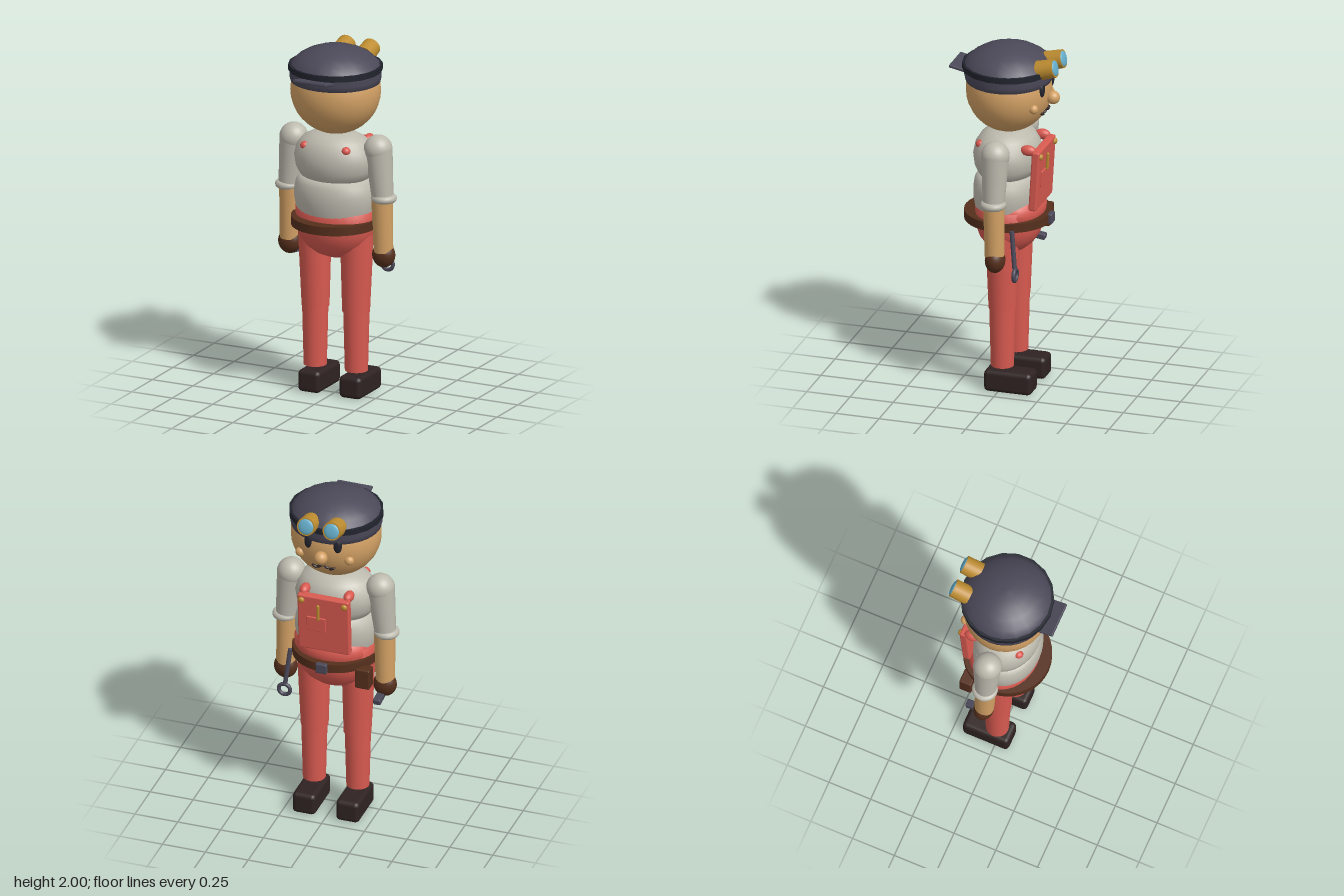
import * as THREE from 'three';
import { RoundedBoxGeometry } from 'three/addons/geometries/RoundedBoxGeometry.js';

const mat = (name, color) => {
  const m = new THREE.MeshStandardMaterial({ color });
  m.name = name;
  return m;
};

export function createModel() {
  const capGrey = mat('slate grey', 0x4b4858), dark = mat('dark navy', 0x22242e);
  const skin = mat('skin', 0xd2a064), shirt = mat('shirt cream', 0xbdbaae);
  const red = mat('overall red', 0xd85a50), brown = mat('leather brown', 0x552f1c);
  const shoe = mat('shoe brown', 0x2f2322), gold = mat('brass', 0xbd8c30);
  const glass = mat('lens blue', 0x66aecb);
  const model = new THREE.Group();
  model.name = 'mechanic';

  const add = (name, geo, material, pos = [0, 0, 0], parent = model) => {
    const mesh = new THREE.Mesh(geo, material);
    mesh.name = name;
    mesh.position.set(...pos);
    parent.add(mesh);
    return mesh;
  };
  const ball = (name, material, pos, radii, parent) => {
    const m = add(name, new THREE.SphereGeometry(1, 28, 18), material, pos, parent);
    m.scale.set(...radii);
    return m;
  };
  const box = (name, material, pos, size, r = 0.008, parent = model) =>
    add(name, new RoundedBoxGeometry(...size, 2, r), material, pos, parent);
  // tapered round bar from a (radius ra) to b (radius rb)
  const bar = (name, material, a, b, ra, rb = ra, sides = 24) => {
    const va = new THREE.Vector3(...a), vb = new THREE.Vector3(...b);
    const dir = vb.clone().sub(va);
    const m = add(name, new THREE.CylinderGeometry(rb, ra, dir.length(), sides), material);
    m.position.copy(va).add(vb).multiplyScalar(0.5);
    m.quaternion.setFromUnitVectors(new THREE.Vector3(0, 1, 0), dir.normalize());
    return m;
  };
  // turned body, profile listed from bottom to top, squashed in z
  const turned = (name, material, profile, zScale, z, sides = 36) => {
    const geo = new THREE.LatheGeometry(profile.map(p => new THREE.Vector2(...p)), sides);
    const m = add(name, geo, material, [0, 0, z]);
    m.scale.z = zScale;
    return m;
  };

  // Torso: two soft lobes
  turned('belly', shirt, [[0.2, 0.99], [0.222, 1.06], [0.234, 1.12], [0.234, 1.17],
    [0.224, 1.22], [0.2, 1.25], [0.15, 1.262], [0, 1.265]], 0.79, 0);
  turned('chest', shirt, [[0.15, 1.23], [0.198, 1.258], [0.225, 1.305], [0.235, 1.365],
    [0.221, 1.425], [0.185, 1.47], [0.13, 1.5], [0.07, 1.512], [0, 1.515]], 0.79, 0);

  // Overalls
  turned('pelvis', red, [[0, 0.785], [0.06, 0.79], [0.12, 0.812], [0.17, 0.848], [0.205, 0.89],
    [0.225, 0.94], [0.233, 1.0], [0.233, 1.072], [0.2, 1.075]], 0.8, -0.012);
  ball('waistPanel', red, [0, 1.05, -0.06], [0.21, 0.12, 0.152]);
  const bib = new THREE.Group();
  bib.name = 'bib';
  bib.position.set(0, 1.26, -0.198);
  bib.rotation.x = -0.06;
  model.add(bib);
  box('bibPanel', red, [0, 0, 0], [0.3, 0.35, 0.045], 0.01, bib);
  box('bibPocket', red, [0.04, 0.0, -0.024], [0.11, 0.09, 0.014], 0.004, bib);
  box('bibPen', gold, [0.025, 0.085, -0.035], [0.016, 0.1, 0.016], 0.006, bib);
  for (const s of [-1, 1]) {
    ball('bibButton', gold, [s * 0.125, 0.145, -0.024], [0.018, 0.018, 0.014], bib);
    ball('strapFront', red, [s * 0.128, 1.435, -0.16], [0.028, 0.03, 0.045]);
    ball('strapBack', red, [s * 0.127, 1.44, 0.117], [0.026, 0.024, 0.026]);
  }

  // Belt with buckle and pouch
  add('belt', new THREE.CylinderGeometry(0.245, 0.245, 0.05, 36), brown, [0, 1, -0.004]);
  box('buckle', capGrey, [0, 1, -0.25], [0.065, 0.06, 0.03]);
  box('pouch', brown, [-0.212, 0.93, -0.15], [0.085, 0.12, 0.07]);

  // Wrench hanging from the belt, and a tool in the other hand
  bar('wrenchHandle', capGrey, [0.235, 0.99, -0.1], [0.257, 0.78, -0.123], 0.013, 0.013, 10);
  add('wrenchRing', new THREE.TorusGeometry(0.033, 0.011, 10, 24), capGrey, [0.26, 0.742, -0.127]);
  const tool = box('handTool', capGrey, [-0.278, 0.772, -0.075], [0.044, 0.035, 0.11]);
  tool.rotation.x = -0.15;

  for (const s of [-1, 1]) {
    // Arms
    ball('shoulder', shirt, [s * 0.26, 1.438, -0.012], [0.08, 0.08, 0.08]);
    bar('sleeve', shirt, [s * 0.262, 1.44, -0.012], [s * 0.288, 1.16, -0.012], 0.078, 0.06);
    const cuff = add('cuff', new THREE.TorusGeometry(0.05, 0.022, 12, 28), shirt, [s * 0.296, 1.16, -0.012]);
    cuff.rotation.x = Math.PI / 2;
    bar('forearm', skin, [s * 0.284, 1.17, -0.012], [s * 0.29, 0.85, -0.018], 0.06, 0.054);
    ball('glove', brown, [s * 0.29, 0.83, -0.021], [0.066, 0.072, 0.056]);

    // Legs and shoes
    bar('thigh', red, [s * 0.13, 0.95, -0.01], [s * 0.125, 0.485, -0.01], 0.094, 0.077);
    bar('shin', red, [s * 0.127, 0.5, -0.01], [s * 0.127, 0.145, -0.01], 0.073, 0.064);
    box('shoe', shoe, [s * 0.127, 0.063, -0.057], [0.135, 0.126, 0.275], 0.025);

    // Face
    ball('eye', dark, [s * 0.083, 1.785, -0.222], [0.026, 0.045, 0.018]);
    ball('cheek', skin, [s * 0.143, 1.69, -0.196], [0.027, 0.027, 0.025]);
    for (const [x, y, tilt] of [[0.02, 1.638, 0.35], [0.05, 1.63, -0.4]]) {
      const hair = ball('moustache', shoe, [s * x, y, -0.222 + x * 0.12], [0.02, 0.008, 0.012]);
      hair.rotation.z = -s * tilt;
    }

    // Goggles
    bar('goggleTube', gold, [s * 0.075, 1.895, -0.2], [s * 0.075, 1.921, -0.297], 0.055, 0.052);
    const lens = ball('goggleLens', glass, [s * 0.075, 1.921, -0.297], [0.044, 0.012, 0.044]);
    lens.rotation.x = -1.31;
  }

  // Head
  ball('head', skin, [0, 1.745, -0.008], [0.253, 0.245, 0.238]);
  ball('nose', skin, [0, 1.715, -0.262], [0.038, 0.038, 0.038]);
  const hairline = turned('hair', capGrey, [[0.235, 1.795], [0.25, 1.8], [0.257, 1.83], [0.256, 1.88]], 0.955, -0.006);
  hairline.material = capGrey;

  // Cap with its band and peak
  turned('capCrown', capGrey, [[0.252, 1.88], [0.246, 1.9], [0.215, 1.933], [0.165, 1.964],
    [0.11, 1.985], [0.055, 1.997], [0, 2]], 0.98, -0.006, 20);
  const band = add('capBand', new THREE.CylinderGeometry(0.262, 0.262, 0.032, 18), dark, [0, 1.88, -0.006]);
  band.scale.z = 0.985;
  const peak = box('capPeak', capGrey, [0, 1.857, 0.255], [0.205, 0.018, 0.11], 0.006);
  peak.rotation.x = -0.2;

  return model;
}
